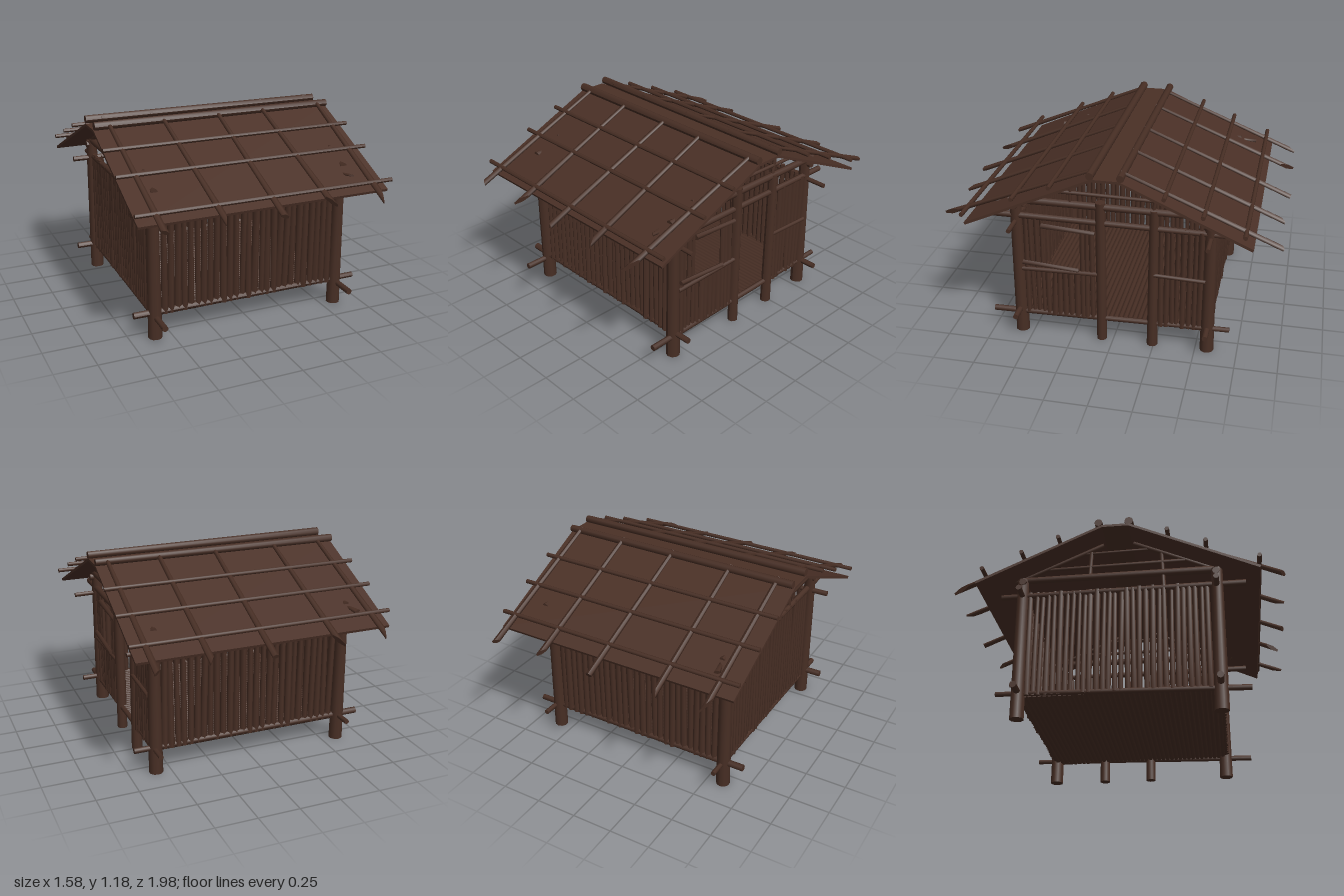
import * as THREE from 'three';

const mat = (name, color) => Object.assign(new THREE.MeshStandardMaterial({ color, side: THREE.DoubleSide }), { name });

let seed = 7;
const rnd = () => (seed = (seed * 16807) % 2147483647) / 2147483647;
const jit = (a) => (rnd() - 0.5) * 2 * a;

export function createModel() {
  const hut = new THREE.Group();
  hut.name = 'hut';
  const timber = mat('dark timber', 0x472e24);
  const boards = mat('roof boards', 0x4a3026);

  const part = (name) => {
    const g = new THREE.Group();
    g.name = name;
    hut.add(g);
    return g;
  };

  // Tapered log between two points; "cut" slants the far end into a splinter
  const log = (parent, name, a, b, r1, r2 = r1, sides = 8, cut = 0, flat = 1) => {
    const from = new THREE.Vector3(...a), to = new THREE.Vector3(...b);
    const len = from.distanceTo(to);
    const geo = new THREE.CylinderGeometry(r2, r1, len, sides);
    const p = geo.attributes.position;
    for (let i = 0; i < p.count; i++) {
      if (cut && p.getY(i) > 0) p.setY(i, p.getY(i) - Math.abs(cut) / 2 + (p.getX(i) / r2) * cut / 2);
      p.setZ(i, p.getZ(i) * flat);
    }
    geo.computeVertexNormals();
    const m = new THREE.Mesh(geo, timber);
    m.name = name;
    m.position.copy(from).add(to).multiplyScalar(0.5);
    m.quaternion.setFromUnitVectors(new THREE.Vector3(0, 1, 0), to.sub(from).normalize());
    parent.add(m);
    return m;
  };

  // Row of upright sticks: along x at a fixed z, or along z at a fixed x
  const stickWall = (parent, axis, fixed, s0, s1, y0, y1, n, r = 0.019) => {
    for (let i = 0; i < n; i++) {
      const s = s0 + ((s1 - s0) * (i + 0.5)) / n;
      const sb = s + jit(0.004), st = s + jit(0.007), off = jit(0.006);
      const at = (v, y, d) => (axis === 'x' ? [v, y, fixed + d] : [fixed + d, y, v]);
      log(parent, 'stick', at(sb, y0, off), at(st, y1 + jit(0.008), -off), r + jit(0.003), r - 0.001 + jit(0.004), 6);
    }
  };

  // Corner posts and door posts
  const posts = part('posts');
  for (const x of [-0.6, 0.59]) {
    for (const z of [0.575, -0.57]) log(posts, 'cornerPost', [x, 0, z], [x + jit(0.006), 0.89, z + jit(0.006)], 0.042, 0.034, 10);
  }
  log(posts, 'doorPost', [0.6, 0, 0.07], [0.6, 0.92, 0.068], 0.031, 0.031, 10);
  log(posts, 'doorPost', [0.6, 0, -0.24], [0.6, 0.9, -0.245], 0.033, 0.028, 10);

  // Crossed base beams, wall-top beams and roof plates
  const beams = part('frameBeams');
  for (const z of [0.575, -0.57]) {
    log(beams, 'baseBeam', [-0.73, 0.16, z], [0.72, 0.158, z], 0.02, 0.017);
    log(beams, 'wallTopBeam', [-0.73, 0.775, z], [0.745, 0.755, z], 0.017, 0.014);
    log(beams, 'eaveBeam', [-0.64, 0.865, z], [0.64, 0.865, z], 0.022);
  }
  for (const x of [-0.6, 0.6]) {
    log(beams, 'sideBaseBeam', [x, 0.132, 0.745], [x, 0.158, -0.7], 0.018, 0.015);
    log(beams, 'sideTopBeam', [x, 0.793, 0.745], [x, 0.782, -0.7], 0.02, 0.017);
    log(beams, 'tieBeam', [x, 0.893, 0.61], [x, 0.888, -0.62], 0.024, 0.02);
  }

  // Floor of thin poles
  const floor = part('floor');
  for (let i = 0; i < 40; i++) {
    const z = -0.56 + i * 0.0287;
    log(floor, 'floorPole', [-0.6, 0.146, z], [0.6, 0.146, z], 0.0165, 0.015, 6);
  }

  // Stick walls on the three closed sides
  const walls = part('walls');
  stickWall(walls, 'x', 0.575, -0.56, 0.555, 0.145, 0.785, 27);
  stickWall(walls, 'x', -0.57, -0.56, 0.555, 0.145, 0.785, 27);
  stickWall(walls, 'z', -0.6, -0.54, 0.54, 0.14, 0.8, 30, 0.0165);

  // Door side: window bay, open doorway, closed bay
  const side = part('doorSideWall');
  stickWall(side, 'z', 0.6, 0.41, 0.54, 0.14, 0.79, 4, 0.015);
  stickWall(side, 'z', 0.6, 0.105, 0.2, 0.14, 0.79, 3, 0.015);
  stickWall(side, 'z', 0.6, 0.2, 0.41, 0.14, 0.45, 6, 0.018);
  stickWall(side, 'z', 0.6, -0.535, -0.27, 0.14, 0.79, 8, 0.0165);
  log(side, 'windowSill', [0.61, 0.44, 0.55], [0.61, 0.45, 0.09], 0.014);
  log(side, 'windowRail', [0.62, 0.49, 0.54], [0.62, 0.468, 0.2], 0.015, 0.013, 6);
  log(side, 'windowHead', [0.615, 0.74, 0.42], [0.615, 0.722, 0.1], 0.017, 0.013, 6);
  log(side, 'wallRail', [0.62, 0.49, -0.25], [0.62, 0.48, -0.55], 0.012);

  // Open gables
  const gables = part('gables');
  for (const x of [-0.6, 0.6]) {
    for (const s of [-1, 1]) log(gables, 'gableRafter', [x, 0.88, s * 0.61], [x, 1.105, s * 0.09], 0.015, 0.014);
    log(gables, 'gableBar', [x, 0.968, 0.44], [x, 0.955, -0.44], 0.013, 0.01);
    log(gables, 'collarBar', [x, 1.06, 0.22], [x, 1.05, -0.21], 0.009);
  }
  log(gables, 'gableStrut', [-0.6, 0.8, 0.27], [-0.6, 1.05, 0.255], 0.012);
  log(gables, 'gableStrut', [-0.6, 0.89, -0.17], [-0.6, 1.06, -0.165], 0.012);
  log(gables, 'gableStrut', [0.6, 0.89, -0.24], [0.6, 1.03, -0.26], 0.011);
  log(gables, 'gableStrut', [0.6, 0.89, 0.245], [0.6, 1.04, 0.24], 0.01);

  // Roof skin: two slopes joined by a flat ridge strip
  const outline = [[0.83, 0.8], [0.08, 1.137], [-0.08, 1.137], [-0.82, 0.804],
    [-0.815, 0.789], [-0.077, 1.122], [0.077, 1.122], [0.825, 0.785]];
  const shape = new THREE.Shape(outline.map(([z, y]) => new THREE.Vector2(-z, y)));
  const skinGeo = new THREE.ExtrudeGeometry(shape, { depth: 1.545, bevelEnabled: false });
  skinGeo.rotateY(Math.PI / 2).translate(-0.775, 0, 0);
  const skin = new THREE.Mesh(skinGeo, boards);
  skin.name = 'roofBoards';
  hut.add(skin);

  // Ridge logs and cross poles resting on the slopes
  const roofY = (z) => 1.17 - (Math.abs(z) - 0.06) * 0.413;
  const poles = part('roofPoles');
  log(poles, 'ridgePole', [-0.77, 1.158, 0.08], [0.77, 1.154, 0.085], 0.026, 0.023);
  log(poles, 'ridgePole', [-0.77, 1.158, -0.1], [0.77, 1.154, -0.085], 0.024, 0.022);
  for (const z of [0.31, 0.53, 0.83, -0.33, -0.545, -0.775]) {
    log(poles, 'crossPole', [-0.79, roofY(z) + 0.008, z - 0.005], [0.79, roofY(z) + 0.005, z + 0.003], 0.013);
  }

  // Split rafters with splintered ends: [x at ridge, x at eave, eave z, cut]
  const rafters = part('rafters');
  const rows = [
    [-0.68, -0.67, 0.97, 0.03], [-0.345, -0.315, 0.98, -0.1], [0.01, 0.015, 0.985, 0.02],
    [0.31, 0.335, 0.965, 0.09], [0.7, 0.655, 1.0, -0.12],
    [-0.665, -0.675, -0.98, 0.11], [-0.36, -0.375, -0.985, -0.1], [0.03, 0.035, -0.98, 0],
    [0.385, 0.387, -0.97, 0.06], [0.7, 0.7, -0.98, 0.03]];
  for (const [xt, xe, z, cut] of rows) {
    const top = Math.sign(z) * 0.075;
    log(rafters, 'splitRafter', [xt, roofY(top) + 0.004, top], [xe, roofY(z), z], 0.013, 0.02, 6, cut, 0.75);
  }

  // Loose splinters lying on the slopes
  const splinters = part('splinters');
  const chip = (x, z) => log(splinters, 'splinter', [x, 1.175 - Math.abs(z) * 0.449, z - 0.045],
    [x + 0.02, 1.185 - Math.abs(z) * 0.449, z + 0.045], 0.022, 0.012, 5, 0.03, 0.5);
  chip(-0.62, -0.67);
  chip(0.57, 0.69);

  return hut;
}
